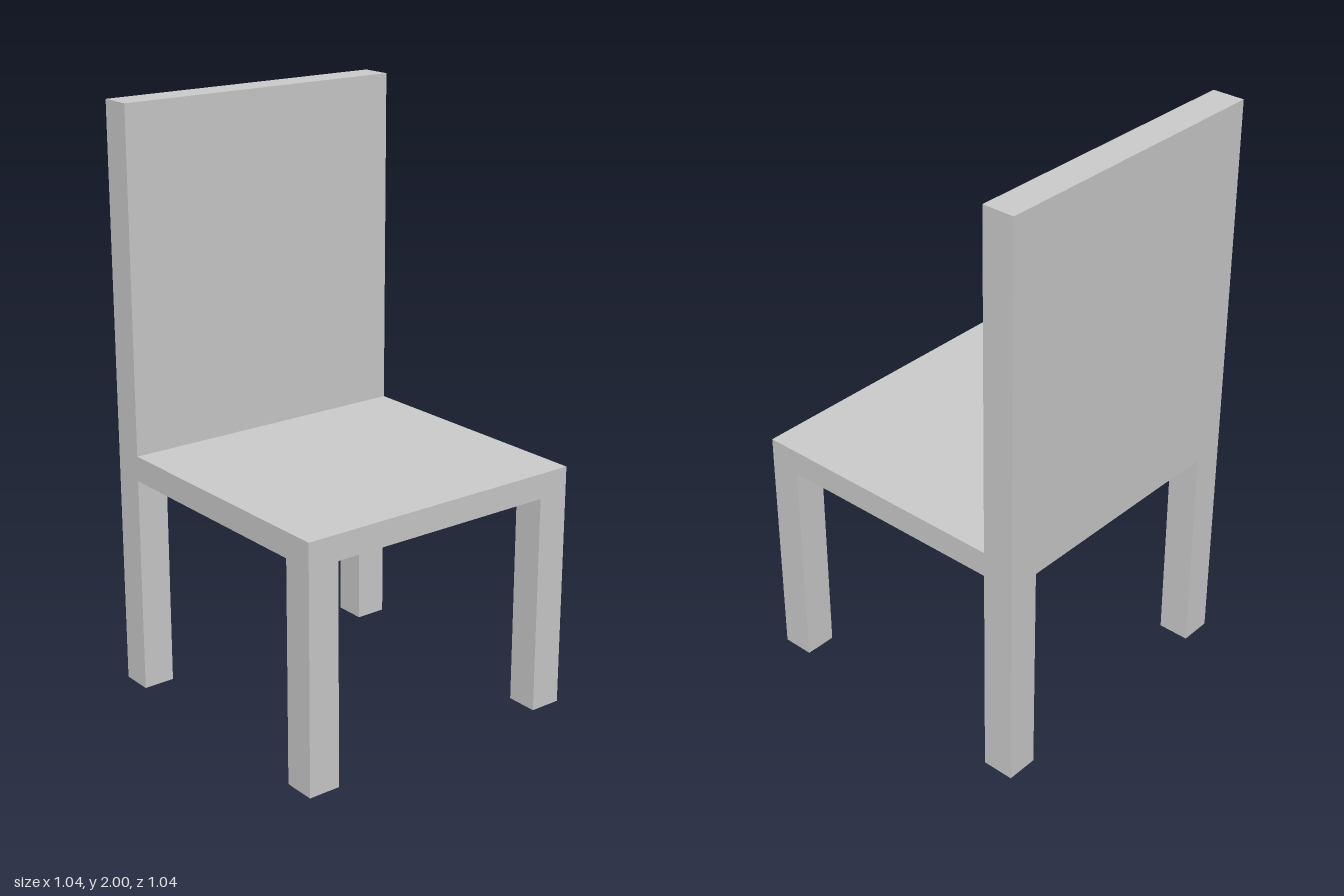
import * as THREE from 'three';

const HALF = 0.522;       // half of the square footprint
const POST = 0.111;       // thickness of legs and backrest
const SEAT_BOTTOM = 0.756;
const SEAT_TOP = 0.842;
const HEIGHT = 2;

export function createModel() {
  const chair = new THREE.Group();
  chair.name = 'chair';
  const material = new THREE.MeshStandardMaterial({ color: 0xcccccc, flatShading: true });

  // Box given by its lower and upper corners
  const addBox = (name, [x0, y0, z0], [x1, y1, z1]) => {
    const mesh = new THREE.Mesh(new THREE.BoxGeometry(x1 - x0, y1 - y0, z1 - z0), material);
    mesh.position.set((x0 + x1) / 2, (y0 + y1) / 2, (z0 + z1) / 2);
    mesh.name = name;
    chair.add(mesh);
  };

  // Backrest slab along the -x edge, running down flush with the seat underside
  addBox('backrest', [-HALF, SEAT_BOTTOM, -HALF], [-HALF + POST, HEIGHT, HALF]);

  // Seat board, butting against the backrest
  addBox('seat', [-HALF + POST, SEAT_BOTTOM, -HALF], [HALF, SEAT_TOP, HALF]);

  // Four square legs flush with the corners
  const inset = HALF - POST / 2;
  for (const sx of [-1, 1]) {
    for (const sz of [-1, 1]) {
      const x = sx * inset, z = sz * inset, r = POST / 2;
      addBox(sx < 0 ? 'backLeg' : 'frontLeg', [x - r, 0, z - r], [x + r, SEAT_BOTTOM, z + r]);
    }
  }
  return chair;
}
